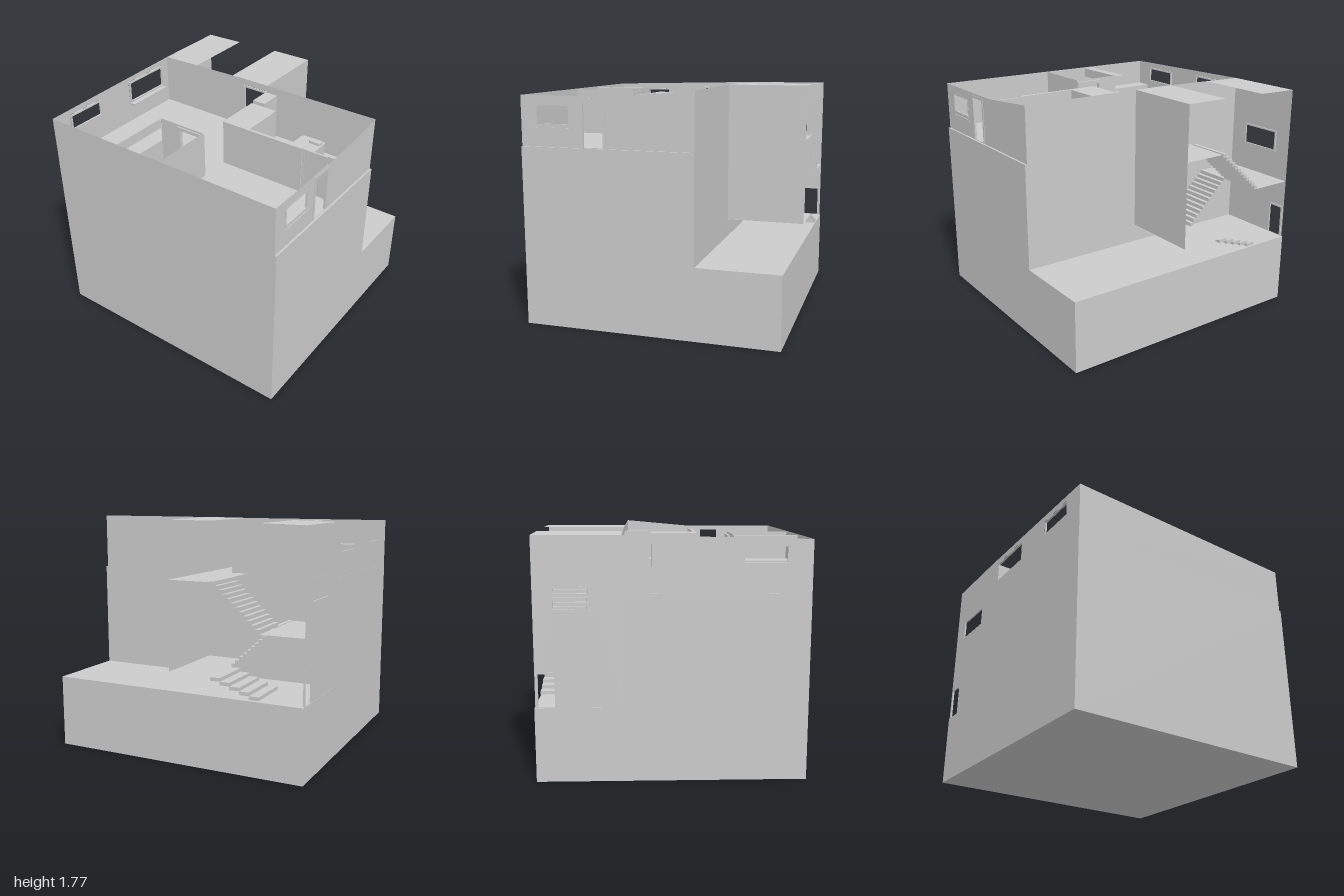
import * as THREE from 'three';

export function createModel() {
  const model = new THREE.Group();
  const solid = new THREE.MeshStandardMaterial({ color: 0xcccccc, flatShading: true });
  const thin = new THREE.MeshStandardMaterial({ color: 0xcccccc, flatShading: true, side: THREE.DoubleSide });

  const add = (name, geo, mat = solid, parent = model) => {
    const m = new THREE.Mesh(geo, mat);
    m.name = name;
    parent.add(m);
    return m;
  };
  const group = (name) => {
    const g = new THREE.Group();
    g.name = name;
    model.add(g);
    return g;
  };
  // Box given by its extents on each axis
  const box = (name, [x0, x1], [y0, y1], [z0, z1], parent) => {
    const m = add(name, new THREE.BoxGeometry(x1 - x0, y1 - y0, z1 - z0), solid, parent);
    m.position.set((x0 + x1) / 2, (y0 + y1) / 2, (z0 + z1) / 2);
    return m;
  };
  const rect = (a0, a1, y0, y1) => [[a0, y0], [a1, y0], [a1, y1], [a0, y1]];
  // Thin wall across x or z; outline is [along, height], with rectangular openings
  const wall = (name, axis, at, outline, holes = []) => {
    const vec = (pts) => pts.map(([a, b]) => new THREE.Vector2(a, b));
    const shape = new THREE.Shape(vec(outline));
    for (const h of holes) shape.holes.push(new THREE.Path(vec(rect(...h))));
    const geo = new THREE.ShapeGeometry(shape);
    if (axis === 'x') geo.rotateY(-Math.PI / 2).translate(at, 0, 0);
    else geo.translate(0, 0, at);
    return add(name, geo, thin);
  };
  // Thin floor or roof, height may differ at its two x ends
  const sheet = (name, x0, x1, y0, y1, z0, z1) => {
    const geo = new THREE.PlaneGeometry(1, 1).rotateX(-Math.PI / 2);
    const p = geo.attributes.position;
    for (let i = 0; i < 4; i++) {
      const r = p.getX(i) > 0;
      p.setXYZ(i, r ? x1 : x0, r ? y1 : y0, p.getZ(i) > 0 ? z1 : z0);
    }
    geo.computeVertexNormals();
    add(name, geo, thin);
  };
  // Frame of bars around an opening; doors have no bottom bar
  const frame = (name, axis, at, [a0, a1, y0, y1], bar, depth, bottom = true) => {
    const g = group(name);
    const part = (n, a, y) => {
      const d = [at - depth / 2, at + depth / 2];
      if (axis === 'x') box(n, d, y, a, g);
      else box(n, a, y, d, g);
    };
    part('jamb', [a0, a0 + bar], [y0, y1]);
    part('jamb', [a1 - bar, a1], [y0, y1]);
    part('head', [a0 + bar, a1 - bar], [y1 - bar, y1]);
    if (bottom) part('bottomBar', [a0 + bar, a1 - bar], [y0, y0 + bar]);
  };

  const FLOOR = 1.35, TOP = 1.72, ROOF = 1.77, BACK = -0.345, REAR = -0.96, L = -0.998, R = 0.985;

  // Lower masses
  box('lowerBlock', [-1, 1], [0, FLOOR], [BACK, 0.965]);
  box('rearBase', [-1, 1], [0, 0.545], [-0.967, BACK]);

  // Outer walls of the top floor
  const rightDoor = [0.31, 0.5, 1.355, 1.705], rightWindow = [0.58, 0.85, 1.505, 1.66];
  const leftWindowA = [-0.26, 0.145, 1.52, 1.7], leftWindowB = [0.48, 0.8, 1.55, 1.68];
  wall('frontWall', 'z', 0.965, rect(L, R, FLOOR, TOP));
  wall('rightWall', 'x', R, [[0.965, FLOOR], [0.965, TOP], [0.2, TOP], [BACK, ROOF], [BACK, FLOOR]],
    [rightDoor, rightWindow]);
  wall('leftWall', 'x', L, [[0.965, FLOOR], [0.965, TOP], [BACK, 1.75], [BACK, FLOOR]],
    [leftWindowA, leftWindowB]);
  // Back wall with the doorway to the stairs
  wall('backWall', 'z', BACK, [[L, FLOOR], [-0.18, FLOOR], [-0.18, TOP], [0.035, TOP], [0.035, FLOOR],
    [R, FLOOR], [R, ROOF], [-0.2, ROOF], [L, 1.75]]);
  frame('stairDoorFrame', 'z', BACK + 0.008, [-0.18, 0.035, FLOOR, TOP], 0.015, 0.012, false);

  // Frames and sills of the outer openings
  frame('rightDoorFrame', 'x', R - 0.005, rightDoor, 0.02, 0.018, false);
  frame('rightWindowFrame', 'x', R - 0.004, rightWindow, 0.012, 0.012);
  frame('leftWindowFrame', 'x', L + 0.008, leftWindowA, 0.012, 0.014);
  frame('leftWindowFrame', 'x', L + 0.008, leftWindowB, 0.012, 0.014);
  box('rightSill', [0.94, 0.99], [1.467, 1.49], [0.565, 0.855]);
  box('leftSill', [-0.995, -0.95], [1.495, 1.515], [-0.265, 0.145]);

  // Stair hall shell, open at the rear
  const hallDoor = [-0.95, -0.81, 0.55, 0.8], hallWindow = [-0.83, -0.49, 1.23, 1.4];
  wall('hallLeftWall', 'x', L, [[REAR, 0.545], [BACK, 0.545], [BACK, 1.75], [REAR, 1.75]], [hallDoor, hallWindow]);
  frame('hallDoorFrame', 'x', L + 0.005, hallDoor, 0.012, 0.012, false);
  frame('hallWindowFrame', 'x', L + 0.005, hallWindow, 0.012, 0.012);
  wall('hallRightWall', 'x', 0.038, rect(REAR, BACK, 0.685, ROOF));
  sheet('hallRoofLeft', L, -0.67, 1.75, 1.758, REAR, BACK);
  sheet('hallRoofRight', -0.3, 0.038, 1.768, ROOF, REAR, BACK);
  sheet('lowerLanding', -0.3, 0.038, 0.683, 0.683, REAR, BACK);
  sheet('middleLanding', L, -0.67, 1.015, 1.015, REAR, BACK);
  sheet('upperLanding', -0.3, 0.038, FLOOR, FLOOR, REAR, BACK);

  // Flights of loose treads, each climbing from the first x to the second
  const flight = (name, x0, x1, y0, y1, z, count) => {
    const g = group(name);
    const run = (x1 - x0) / count, rise = (y1 - y0) / count;
    for (let i = 0; i < count; i++) {
      const a = x0 + run * i, b = a + run, top = y0 + rise * (i + 1);
      box('tread', [Math.min(a, b), Math.max(a, b)], [top - rise, top], z, g);
    }
  };
  flight('entryFlight', -0.67, -0.3, 0.555, 0.683, [-0.967, -0.63], 5);
  flight('middleFlight', -0.3, -0.67, 0.683, 1.02, [-0.63, -0.35], 12);
  flight('upperFlight', -0.67, -0.3, 1.02, 1.357, [-0.967, -0.63], 12);

  // Rooms at the front: side wall and wall with a doorway
  wall('frontRoomSideWall', 'x', 0.035, rect(0.48, 0.965, FLOOR, 1.715));
  wall('frontRoomWall', 'z', 0.48, [[-0.36, FLOOR], [-0.19, FLOOR], [-0.19, 1.69], [0.025, 1.69],
    [0.025, FLOOR], [0.035, FLOOR], [0.035, 1.715], [-0.36, 1.715]]);
  frame('frontRoomDoorFrame', 'z', 0.475, [-0.2, 0.033, FLOOR, 1.7], 0.025, 0.03, false);

  // Kitchen counter and the cupboard bar above it
  box('counter', [-0.51, -0.36], [FLOOR, 1.53], [0.48, 0.963]);
  box('counterReturn', [-0.996, -0.51], [FLOOR, 1.51], [0.84, 0.963]);
  box('cupboardBar', [-0.44, -0.362], [1.635, 1.71], [0.482, 0.963]);

  // Inner block, partition and pillar
  box('innerBlock', [0.035, 0.262], [FLOOR, 1.705], [-0.135, 0.235]);
  box('partition', [0.262, 0.72], [FLOOR, 1.705], [0.21, 0.235]);
  wall('partitionEnd', 'z', 0.22, rect(0.92, R, FLOOR, 1.705));
  box('pillar', [0.035, 0.14], [FLOOR, 1.72], [-0.33, -0.155]);

  // Bedroom door with knob
  frame('bedroomDoorFrame', 'z', 0.217, [0.72, 0.92, FLOOR, 1.7], 0.015, 0.014, false);
  box('bedroomDoor', [0.735, 0.905], [FLOOR, 1.685], [0.208, 0.218]);
  const knob = add('doorKnob', new THREE.SphereGeometry(0.008, 10, 8));
  knob.position.set(0.755, 1.52, 0.2);

  // Bed and pillow, soft-cornered slabs
  const cushion = (name, [x0, x1], [y0, y1], [z0, z1], r) => {
    const s = new THREE.Shape(), w = x1 - x0, d = z1 - z0;
    s.moveTo(r, 0).lineTo(w - r, 0).quadraticCurveTo(w, 0, w, r).lineTo(w, d - r);
    s.quadraticCurveTo(w, d, w - r, d).lineTo(r, d).quadraticCurveTo(0, d, 0, d - r);
    s.lineTo(0, r).quadraticCurveTo(0, 0, r, 0);
    const geo = new THREE.ExtrudeGeometry(s, { depth: y1 - y0, bevelEnabled: false, curveSegments: 4 });
    geo.rotateX(Math.PI / 2).translate(x0, y1, z0);
    add(name, geo);
  };
  cushion('bed', [0.4, 0.61], [FLOOR, 1.46], [-0.317, 0.033], 0.025);
  cushion('pillow', [0.5, 0.6], [1.46, 1.48], [-0.29, -0.238], 0.015);

  return model;
}
